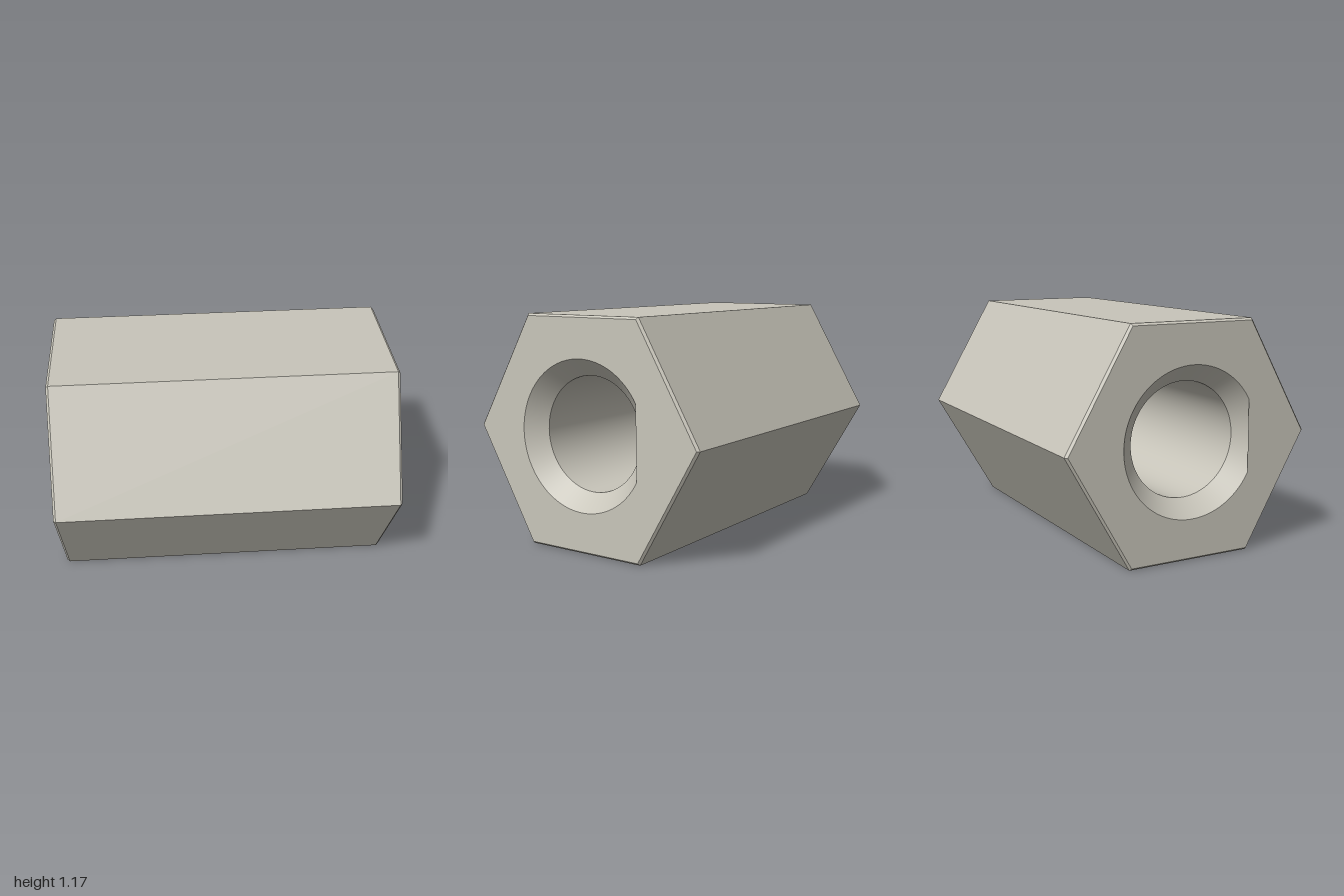
import * as THREE from 'three';

const R = 0.677;          // hexagon corner radius
const HALF = 0.8815;      // half length along the axis
const CHAMFER = 0.0125;   // small bevel around each end
const MOUTH = 0.378;      // countersink radius at the end face
const BORE = 0.29;        // through hole radius
const SINK = 0.09;        // countersink depth

export function createModel() {
  const model = new THREE.Group();
  const metal = new THREE.MeshStandardMaterial({ color: 0xc8c5ba });
  metal.name = 'warm grey metal';

  // Parts are built around the y axis, then laid on their side
  const nut = new THREE.Group();
  nut.name = 'hexStandoff';

  const add = (name, geometry) => {
    const mesh = new THREE.Mesh(geometry, metal);
    mesh.name = name;
    nut.add(mesh);
    return mesh;
  };
  const lathe = (points, sides) =>
    new THREE.LatheGeometry(points.map(([r, y]) => new THREE.Vector2(r, y)), sides);

  // Six-sided body with chamfered ends
  const body = lathe([
    [R - CHAMFER, -HALF], [R, -HALF + CHAMFER],
    [R, HALF - CHAMFER], [R - CHAMFER, HALF],
  ], 6).toNonIndexed();
  body.computeVertexNormals();
  add('hexBody', body);

  // Through hole and its two countersinks, facing the axis
  add('bore', lathe([[BORE, HALF - SINK], [BORE, -HALF + SINK]], 96));
  add('rightCountersink', lathe([[MOUTH, HALF], [BORE, HALF - SINK]], 96));
  add('leftCountersink', lathe([[BORE, -HALF + SINK], [MOUTH, -HALF]], 96));

  // Hexagonal end faces with a round opening
  const hex = new THREE.Shape(Array.from({ length: 6 }, (_, i) => {
    const a = (i * Math.PI) / 3;
    return new THREE.Vector2(Math.sin(a), Math.cos(a)).multiplyScalar(R - CHAMFER);
  }));
  hex.holes.push(new THREE.Path().absarc(0, 0, MOUTH, 0, Math.PI * 2, false));
  for (const [name, side] of [['rightEndFace', 1], ['leftEndFace', -1]]) {
    const face = add(name, new THREE.ShapeGeometry(hex, 48));
    face.rotation.x = (-side * Math.PI) / 2;
    face.position.y = side * HALF;
  }

  // Lay the axis along x, then turn it slightly about the vertical
  nut.rotation.z = -Math.PI / 2;
  const turned = new THREE.Group();
  turned.name = 'turnedStandoff';
  turned.add(nut);
  turned.rotation.y = THREE.MathUtils.degToRad(-12.2);
  turned.position.y = 0.59;
  model.add(turned);
  return model;
}
